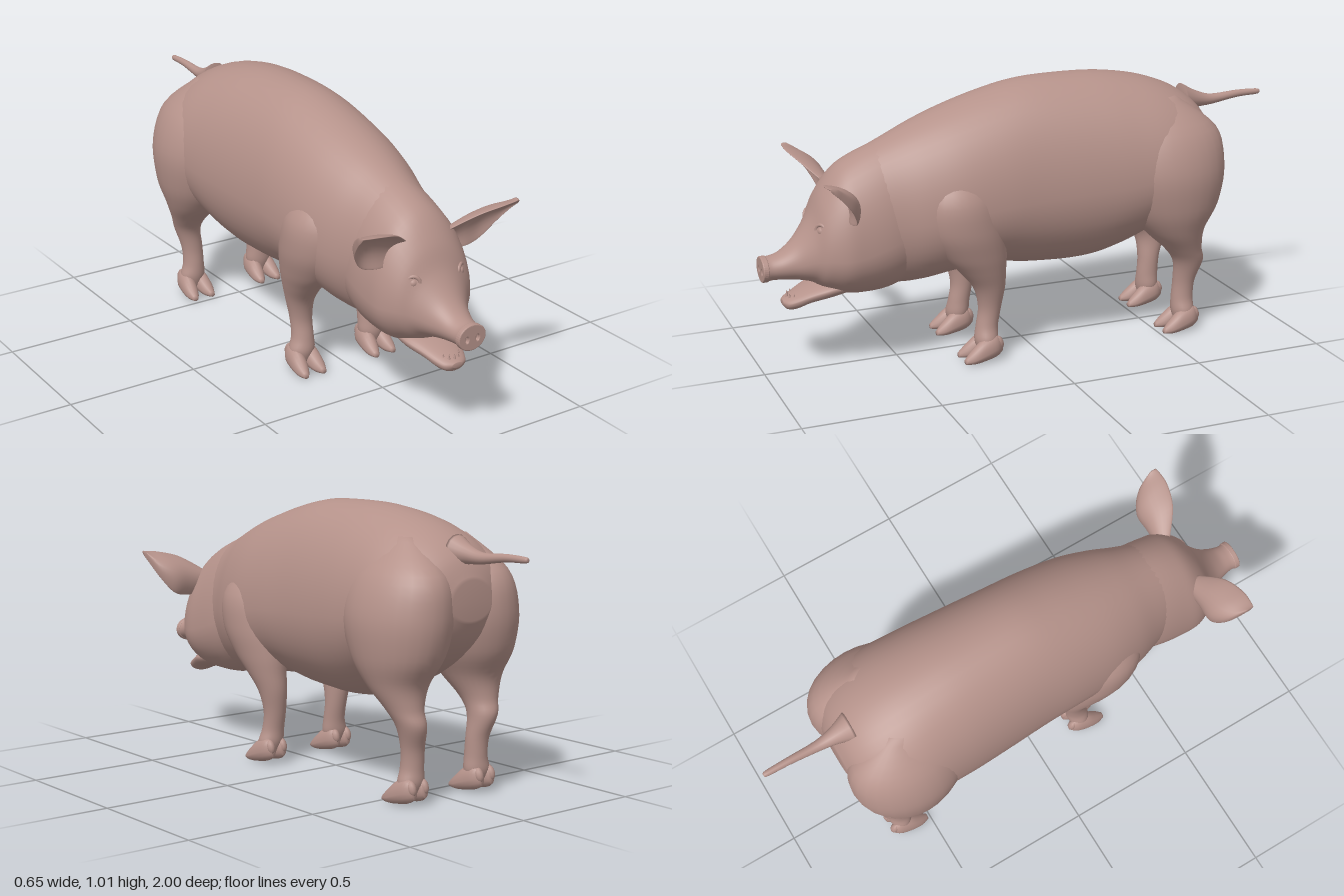
import * as THREE from 'three';

const skin = new THREE.MeshStandardMaterial({ color: 0xb5928a });
skin.name = 'skin';

// Smooth interpolation of one column of a section table, t from 0 to 1
function sample(table, t) {
  const n = table.length - 1;
  const i = Math.min(Math.floor(t * n), n - 1);
  const f = t * n - i;
  const row = (k) => table[Math.max(0, Math.min(n, k))];
  return row(i).map((b, c) => {
    const a = row(i - 1)[c], d = row(i + 1)[c], e = row(i + 2)[c];
    const m0 = (d - a) / 2, m1 = (e - b) / 2;
    return b + m0 * f + (3 * (d - b) - 2 * m0 - m1) * f * f + (2 * (b - d) + m0 + m1) * f ** 3;
  });
}

// Closed skin through rings; ring(section, angle) gives a point
function loft(name, table, ring, around = 32, perStep = 5) {
  const steps = (table.length - 1) * perStep;
  const pos = [], index = [];
  for (let i = 0; i <= steps; i++) {
    const s = sample(table, i / steps);
    for (let j = 0; j < around; j++) pos.push(...ring(s, (j / around) * Math.PI * 2));
  }
  for (let i = 0; i < steps; i++) {
    for (let j = 0; j < around; j++) {
      const k = (j + 1) % around, a = i * around, b = a + around;
      index.push(a + j, a + k, b + j, a + k, b + k, b + j);
    }
  }
  // End caps
  for (const start of [0, steps * around]) {
    const c = [0, 0, 0];
    for (let j = 0; j < around; j++) for (let q = 0; q < 3; q++) c[q] += pos[(start + j) * 3 + q] / around;
    const centre = pos.length / 3;
    pos.push(...c);
    for (let j = 0; j < around; j++) {
      const k = (j + 1) % around;
      index.push(centre, start + (start ? j : k), start + (start ? k : j));
    }
  }
  // Turn faces outward when the signed volume is negative
  const v = (i) => new THREE.Vector3().fromArray(pos, i * 3);
  let volume = 0;
  for (let i = 0; i < index.length; i += 3) volume += v(index[i]).dot(v(index[i + 1]).cross(v(index[i + 2])));
  if (volume < 0) index.reverse();
  const geo = new THREE.BufferGeometry();
  geo.setAttribute('position', new THREE.Float32BufferAttribute(pos, 3));
  geo.setIndex(index);
  geo.computeVertexNormals();
  return part(name, geo);
}

function part(name, geo, position = [0, 0, 0], scale = [1, 1, 1]) {
  const mesh = new THREE.Mesh(geo, skin);
  mesh.name = name;
  mesh.position.set(...position);
  mesh.scale.set(...scale);
  return mesh;
}

// Section [z, bottom, top, height of widest point, half width]
const trunkRing = ([z, yb, yt, ym, w], a) => {
  const s = Math.sin(a);
  return [w * Math.cos(a), ym + (s > 0 ? yt - ym : ym - yb) * s, z];
};

const BODY = [
  [0.62, 0.33, 0.8, 0.55, 0.16], [0.52, 0.3, 0.845, 0.55, 0.19], [0.42, 0.3, 0.89, 0.56, 0.225],
  [0.3, 0.32, 0.935, 0.58, 0.25], [0.15, 0.335, 0.98, 0.6, 0.26], [0, 0.315, 1.01, 0.61, 0.264],
  [-0.2, 0.308, 1.015, 0.62, 0.277], [-0.35, 0.34, 1.005, 0.63, 0.287], [-0.5, 0.41, 0.975, 0.65, 0.29],
  [-0.62, 0.48, 0.925, 0.67, 0.26], [-0.7, 0.56, 0.86, 0.69, 0.19], [-0.74, 0.64, 0.78, 0.7, 0.09],
];
const HEAD = [
  [0.45, 0.32, 0.86, 0.52, 0.17], [0.55, 0.285, 0.83, 0.49, 0.188], [0.65, 0.28, 0.79, 0.46, 0.192],
  [0.72, 0.29, 0.745, 0.45, 0.188], [0.78, 0.315, 0.665, 0.45, 0.16], [0.82, 0.34, 0.575, 0.44, 0.12],
  [0.87, 0.352, 0.505, 0.42, 0.082], [0.92, 0.358, 0.462, 0.41, 0.062], [0.96, 0.36, 0.448, 0.404, 0.053],
  [0.985, 0.356, 0.447, 0.402, 0.055],
];
const JAW = [
  [0.66, 0.3, 0.36, 0.33, 0.1], [0.76, 0.277, 0.35, 0.32, 0.105], [0.83, 0.262, 0.325, 0.3, 0.082],
  [0.88, 0.243, 0.302, 0.28, 0.062], [0.91, 0.245, 0.288, 0.27, 0.045], [0.925, 0.262, 0.28, 0.271, 0.02],
];

// Leg sections [y, centre x, centre z, radius x, radius z]
const FRONT_LEG = [
  [0.76, 0.13, 0.29, 0.05, 0.07], [0.64, 0.145, 0.3, 0.115, 0.14], [0.52, 0.155, 0.285, 0.115, 0.15],
  [0.42, 0.163, 0.25, 0.088, 0.122], [0.35, 0.162, 0.217, 0.068, 0.088], [0.28, 0.155, 0.19, 0.052, 0.06],
  [0.2, 0.148, 0.186, 0.042, 0.043], [0.13, 0.148, 0.197, 0.042, 0.041], [0.08, 0.155, 0.203, 0.05, 0.043],
  [0.04, 0.157, 0.205, 0.036, 0.032],
];
const HIND_LEG = [
  [0.92, 0.12, -0.52, 0.03, 0.05], [0.8, 0.14, -0.53, 0.128, 0.195], [0.66, 0.15, -0.53, 0.168, 0.225],
  [0.52, 0.162, -0.54, 0.147, 0.188], [0.42, 0.172, -0.552, 0.105, 0.12], [0.34, 0.174, -0.592, 0.066, 0.074],
  [0.28, 0.166, -0.62, 0.05, 0.06], [0.2, 0.152, -0.612, 0.042, 0.043], [0.13, 0.15, -0.607, 0.042, 0.042],
  [0.08, 0.155, -0.607, 0.05, 0.043], [0.04, 0.157, -0.605, 0.036, 0.032],
];
const TOE = [
  [-0.05, 0.03, 0.075, 0.05, 0.01], [-0.02, 0.012, 0.1, 0.05, 0.028], [0.03, 0.003, 0.085, 0.035, 0.031],
  [0.07, 0, 0.052, 0.02, 0.025], [0.1, 0.004, 0.022, 0.012, 0.01],
];

// Leg with a cloven hoof and two dewclaws
function leg(name, table, side) {
  const g = new THREE.Group();
  g.name = name;
  g.add(loft('limb', table, ([y, cx, cz, rx, rz], a) => [side * (cx + rx * Math.cos(a)), y, cz + rz * Math.sin(a)], 28));
  const z = table[table.length - 1][2];
  for (const d of [-1, 1]) {
    const toe = loft('toe', TOE, trunkRing, 14, 4);
    toe.position.set(side * 0.157 + d * 0.029, 0, z - 0.005);
    toe.rotation.y = d * 0.1;
    const claw = part('dewclaw', new THREE.SphereGeometry(0.018, 12, 8),
      [side * 0.157 + d * 0.028, 0.068, z - 0.042], [0.9, 1.5, 0.9]);
    claw.rotation.x = 0.35;
    g.add(toe, claw);
  }
  return g;
}

// Ear sections: upper edge, back of the cup, lower edge (x, y, z each)
const EAR = [
  [0.09, 0.68, 0.74, 0.1, 0.66, 0.68, 0.12, 0.6, 0.71],
  [0.17, 0.735, 0.8, 0.18, 0.7, 0.67, 0.18, 0.59, 0.715],
  [0.25, 0.757, 0.825, 0.25, 0.72, 0.675, 0.25, 0.605, 0.71],
  [0.305, 0.763, 0.825, 0.305, 0.73, 0.73, 0.3, 0.67, 0.74],
  [0.325, 0.765, 0.82, 0.325, 0.757, 0.8, 0.325, 0.745, 0.8],
];
function ear(name, side) {
  return loft(name, EAR, (s, a) => {
    // Out along the back of the cup, home along its inside
    const t = (1 - Math.cos(a)) / 2;
    const inside = Math.sin(a) * 0.009;
    const p = [0, 1, 2].map((q) => (1 - t) ** 2 * s[q] + 2 * t * (1 - t) * s[q + 3] + t * t * s[q + 6]);
    return [side * p[0], p[1] - inside * 0.7, p[2] + inside];
  }, 28, 5);
}

export function createModel() {
  const pig = new THREE.Group();
  pig.name = 'pig';
  pig.add(loft('body', BODY, trunkRing, 48), loft('head', HEAD, trunkRing, 44), loft('lowerJaw', JAW, trunkRing, 28));

  // Snout disc with open nostrils
  const disc = new THREE.Shape().absellipse(0, 0, 0.053, 0.043, 0, Math.PI * 2);
  for (const s of [-1, 1]) disc.holes.push(new THREE.Path().absellipse(s * 0.022, -0.004, 0.011, 0.015, 0, Math.PI * 2, true));
  const snout = new THREE.ExtrudeGeometry(disc, {
    depth: 0.014, bevelEnabled: true, bevelSize: 0.004, bevelThickness: 0.004, bevelSegments: 3, curveSegments: 20,
  });
  pig.add(part('snout', snout, [0, 0.402, 0.98]));

  // Lower teeth
  for (let i = 0; i < 5; i++) {
    const a = ((i - 2) / 2) * 1.1;
    pig.add(part('tooth', new THREE.ConeGeometry(0.006, 0.02, 8),
      [Math.sin(a) * 0.036, 0.297, 0.87 + Math.cos(a) * 0.036]));
  }

  for (const side of [1, -1]) {
    const tag = side > 0 ? 'left' : 'right';
    pig.add(leg(tag + 'FrontLeg', FRONT_LEG, side), leg(tag + 'HindLeg', HIND_LEG, side), ear(tag + 'Ear', side));
    // Eye under a soft lid
    pig.add(part(tag + 'Eye', new THREE.SphereGeometry(0.018, 16, 12), [side * 0.097, 0.548, 0.792]));
    const lid = part(tag + 'Eyelid', new THREE.TorusGeometry(0.022, 0.007, 8, 20, Math.PI), [side * 0.099, 0.55, 0.797]);
    lid.rotation.y = side * 0.6;
    pig.add(lid);
  }

  // Tapered tail [z, y, radius]
  const TAIL = [[-0.66, 0.875, 0.055], [-0.72, 0.865, 0.033], [-0.79, 0.858, 0.02], [-0.9, 0.869, 0.014], [-0.985, 0.87, 0.011], [-1, 0.87, 0.005]];
  pig.add(loft('tail', TAIL, ([z, y, r], a) => [r * Math.cos(a), y + r * Math.sin(a), z], 16));
  return pig;
}
